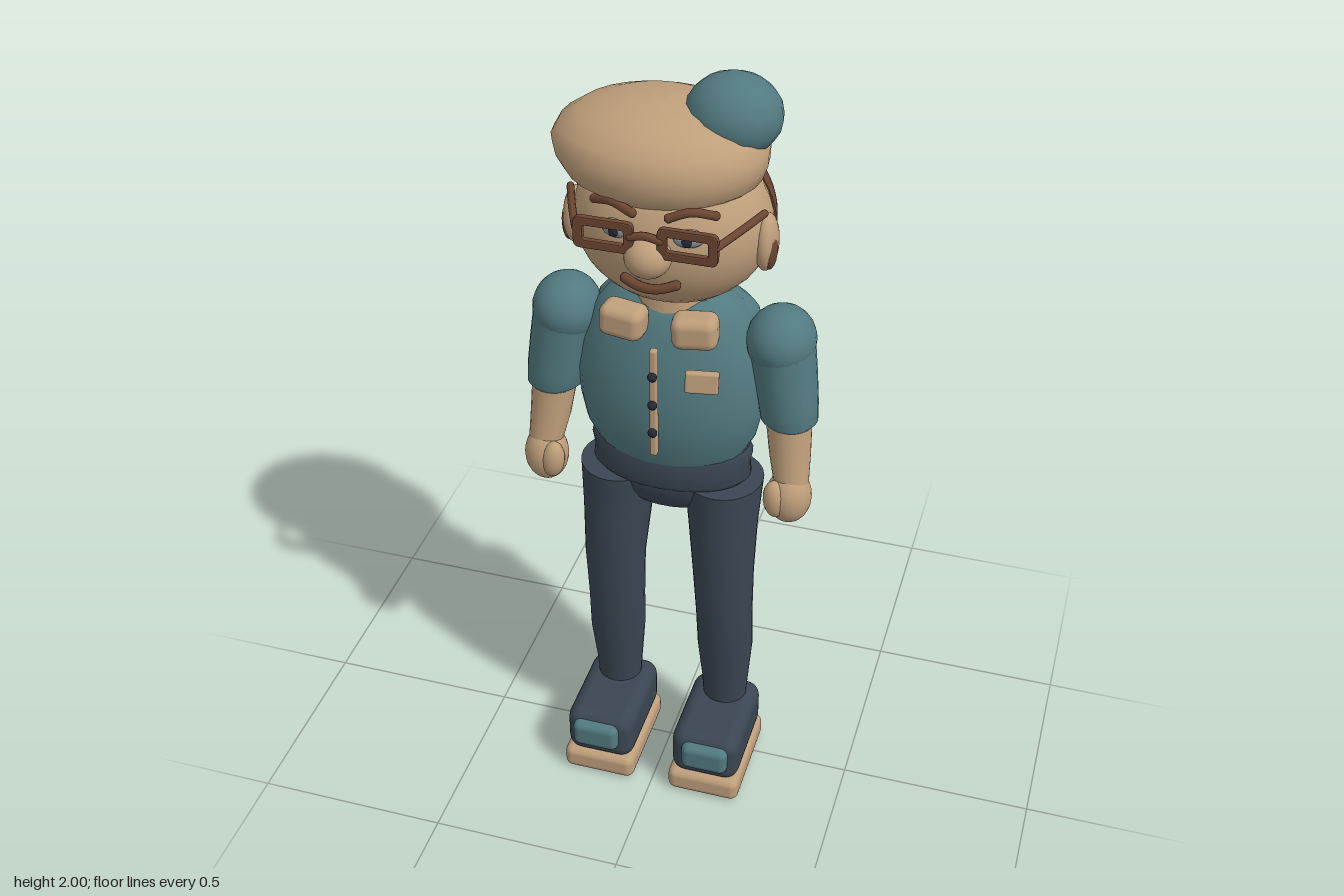
import * as THREE from 'three';
import { RoundedBoxGeometry } from 'three/addons/geometries/RoundedBoxGeometry.js';
import { ParametricGeometry } from 'three/addons/geometries/ParametricGeometry.js';

const mat = (name, color) => Object.assign(new THREE.MeshStandardMaterial({ color }), { name });

// Horizontal elliptical rings [y, cx, cz, rx, rz], bottom to top, with flat caps
function loft(rings, n = 24) {
  const pos = [], idx = [];
  const addRing = ([y, cx, cz, rx, rz]) => {
    const start = pos.length / 3;
    for (let i = 0; i < n; i++) {
      const a = (i / n) * Math.PI * 2;
      pos.push(cx + rx * Math.cos(a), y, cz + rz * Math.sin(a));
    }
    return start;
  };
  const starts = rings.map(addRing);
  for (let r = 0; r < rings.length - 1; r++) {
    for (let i = 0; i < n; i++) {
      const j = (i + 1) % n, lo = starts[r], hi = starts[r + 1];
      idx.push(lo + i, hi + i, lo + j, lo + j, hi + i, hi + j);
    }
  }
  [rings[0], rings[rings.length - 1]].forEach((ring, top) => {
    const s = addRing(ring), c = pos.length / 3;
    pos.push(ring[1], ring[0], ring[2]);
    for (let i = 0; i < n; i++) {
      const j = (i + 1) % n;
      idx.push(c, s + (top ? j : i), s + (top ? i : j));
    }
  });
  const g = new THREE.BufferGeometry();
  g.setAttribute('position', new THREE.Float32BufferAttribute(pos, 3));
  g.setIndex(idx);
  g.computeVertexNormals();
  return g;
}

function roundedRect(target, w, h, r) {
  const x = w / 2, y = h / 2;
  target.moveTo(-x + r, -y).lineTo(x - r, -y).quadraticCurveTo(x, -y, x, -y + r)
    .lineTo(x, y - r).quadraticCurveTo(x, y, x - r, y)
    .lineTo(-x + r, y).quadraticCurveTo(-x, y, -x, y - r)
    .lineTo(-x, -y + r).quadraticCurveTo(-x, -y, -x + r, -y);
  return target;
}

export function createModel() {
  const tan = mat('tan', 0xbf9f7b), teal = mat('teal', 0x527a80);
  const navy = mat('navy', 0x3a4653), brown = mat('brown', 0x6b4632);
  const dark = mat('dark', 0x262a33), eyeGrey = mat('eyeGrey', 0x87959a);
  brown.side = THREE.DoubleSide;

  const model = new THREE.Group();
  model.name = 'figure';
  const add = (name, geo, material, p = [0, 0, 0], rot = [0, 0, 0]) => {
    const m = new THREE.Mesh(geo, material);
    m.name = name;
    m.position.set(...p);
    m.rotation.set(...rot);
    model.add(m);
    return m;
  };
  const ball = (name, material, p, r, rot, seg = 22) => {
    const m = add(name, new THREE.SphereGeometry(1, seg, Math.round(seg * 0.65)), material, p, rot);
    m.scale.set(...r);
    return m;
  };
  const box = (name, material, p, s, r, rot) =>
    add(name, new RoundedBoxGeometry(...s, 3, r), material, p, rot);
  const tube = (name, material, pts, r) => {
    const curve = new THREE.CatmullRomCurve3(pts.map((q) => new THREE.Vector3(...q)));
    add(name, new THREE.TubeGeometry(curve, 12, r, 8), material);
    for (const q of [pts[0], pts[pts.length - 1]]) ball(name + 'End', material, q, [r, r, r], [0, 0, 0], 10);
  };

  // Shirt
  add('shirt', loft([
    [1.01, 0, -0.01, 0.18, 0.105], [1.08, 0, -0.005, 0.215, 0.125], [1.15, 0, -0.007, 0.23, 0.135],
    [1.22, 0, -0.01, 0.234, 0.137], [1.3, 0, -0.018, 0.225, 0.135], [1.38, 0, -0.03, 0.2, 0.125],
    [1.43, 0, -0.035, 0.165, 0.108], [1.455, 0, -0.04, 0.12, 0.085],
  ], 28), teal);
  ball('shoulderYoke', teal, [0, 1.37, -0.07], [0.205, 0.095, 0.1]);
  box('buttonStrip', tan, [0, 1.23, 0.14], [0.018, 0.3, 0.02], 0.005);
  for (const y of [1.15, 1.23, 1.31]) ball('button', dark, [0, y, 0.153], [0.012, 0.012, 0.01], [0, 0, 0], 12);
  box('pocket', tan, [0.113, 1.3, 0.125], [0.08, 0.055, 0.022], 0.006, [-0.1, 0.2, 0]);

  // Waist and pelvis
  add('waistband', loft([
    [0.935, 0, -0.015, 0.19, 0.105], [0.95, 0, -0.015, 0.204, 0.114], [0.985, 0, -0.015, 0.2, 0.115],
    [1.02, 0, -0.015, 0.207, 0.112], [1.033, 0, -0.015, 0.197, 0.104],
  ], 28), navy);
  ball('pelvis', navy, [0, 0.95, -0.012], [0.185, 0.125, 0.1]);

  // Neck, head and hair
  add('neck', new THREE.CylinderGeometry(0.09, 0.1, 0.1, 20), tan, [0, 1.46, -0.03]);
  ball('head', tan, [0, 1.645, -0.02], [0.235, 0.2, 0.19], [0, 0, 0], 30);
  const hair = new ParametricGeometry((u, v, out) => {
    const y = 1.5 + 0.31 * v;
    const f = Math.sqrt(1 - ((y - 1.66) / 0.215) ** 2);
    const edge = -0.03 - 0.11 * Math.min(1, Math.max(0, (1.7 - y) / 0.2)) ** 1.2;
    const half = Math.PI / 2 - Math.asin(Math.min(1, -(edge + 0.025) / (0.205 * f)));
    const t = (u * 2 - 1) * half;
    out.set(0.24 * f * Math.sin(t), y, -0.025 - 0.205 * f * Math.cos(t));
  }, 28, 14);
  add('hair', hair, brown);

  // Beret with pompom
  add('beret', loft([
    [1.745, -0.02, -0.03, 0.2, 0.17], [1.765, -0.025, -0.03, 0.23, 0.19], [1.8, -0.03, -0.03, 0.247, 0.2],
    [1.835, -0.033, -0.03, 0.252, 0.2], [1.87, -0.033, -0.03, 0.233, 0.186], [1.9, -0.033, -0.03, 0.19, 0.154],
    [1.922, -0.033, -0.03, 0.13, 0.108], [1.932, -0.033, -0.03, 0.07, 0.06], [1.936, -0.033, -0.03, 0.02, 0.02],
  ], 28), tan);
  ball('pompom', teal, [0.13, 1.905, -0.055], [0.113, 0.095, 0.105], [0, 0, 0], 16);

  // Face
  ball('nose', tan, [0, 1.65, 0.178], [0.055, 0.05, 0.052]);
  tube('mouth', brown, [[-0.06, 1.575, 0.16], [-0.03, 1.566, 0.168], [0, 1.562, 0.17],
    [0.03, 1.566, 0.168], [0.06, 1.575, 0.16]], 0.012);
  tube('glassesBridge', brown, [[-0.035, 1.705, 0.197], [0, 1.712, 0.198], [0.035, 1.705, 0.197]], 0.01);

  const rim = roundedRect(new THREE.Shape(), 0.134, 0.072, 0.014);
  rim.holes.push(roundedRect(new THREE.Path(), 0.1, 0.042, 0.008));
  const rimGeo = new THREE.ExtrudeGeometry(rim, {
    depth: 0.008, bevelSize: 0.003, bevelThickness: 0.004, bevelSegments: 2, curveSegments: 4,
  });

  for (const s of [1, -1]) {
    // Eyes, brows, glasses and ears
    ball('eye', eyeGrey, [s * 0.085, 1.692, 0.146], [0.036, 0.022, 0.02], [0, s * 0.25, 0], 16);
    ball('pupil', dark, [s * 0.085, 1.692, 0.161], [0.014, 0.015, 0.008], [0, s * 0.25, 0], 12);
    tube('eyebrow', brown, [[s * 0.042, 1.742, 0.158], [s * 0.09, 1.758, 0.147], [s * 0.14, 1.746, 0.125]], 0.011);
    add('glassesRim', rimGeo, brown, [s * 0.097, 1.7, 0.191]);
    tube('glassesTemple', brown, [[s * 0.162, 1.708, 0.195], [s * 0.197, 1.714, 0.115], [s * 0.228, 1.718, 0.035]], 0.009);
    ball('ear', tan, [s * 0.228, 1.63, 0.005], [0.028, 0.072, 0.046]);
    ball('innerEar', brown, [s * 0.24, 1.618, 0.018], [0.017, 0.05, 0.024], [0, 0, 0], 14);

    // Bow tie half
    box('bowTie', tan, [s * 0.087, 1.42, 0.093], [0.11, 0.082, 0.075], 0.024, [0, s * 0.12, s * 0.05]);

    // Arm
    ball('shoulder', teal, [s * 0.267, 1.36, -0.018], [0.084, 0.085, 0.092]);
    add('sleeve', loft([
      [1.145, s * 0.3, 0, 0.06, 0.06], [1.155, s * 0.298, 0, 0.07, 0.068], [1.2, s * 0.293, -0.003, 0.073, 0.073],
      [1.28, s * 0.281, -0.01, 0.077, 0.08], [1.36, s * 0.268, -0.017, 0.08, 0.086],
    ]), teal);
    add('forearm', loft([
      [0.985, s * 0.318, 0.035, 0.043, 0.043], [1.06, s * 0.308, 0.018, 0.051, 0.05],
      [1.16, s * 0.298, 0.003, 0.057, 0.056],
    ], 20), tan);
    ball('hand', tan, [s * 0.315, 0.95, 0.04], [0.056, 0.075, 0.055]);
    ball('thumb', tan, [s * 0.287, 0.955, 0.073], [0.03, 0.052, 0.028], [0, 0, s * 0.1], 16);

    // Leg
    add('trouserLeg', loft([
      [0.17, s * 0.15, -0.015, 0.057, 0.055], [0.25, s * 0.15, -0.015, 0.062, 0.06],
      [0.38, s * 0.15, -0.006, 0.073, 0.074], [0.5, s * 0.148, 0.003, 0.074, 0.078],
      [0.65, s * 0.146, 0.015, 0.079, 0.078], [0.8, s * 0.14, 0.004, 0.088, 0.09],
      [0.935, s * 0.136, -0.012, 0.1, 0.106],
    ]), navy);

    // Shoe
    box('sole', tan, [s * 0.147, 0.035, 0.06], [0.195, 0.07, 0.29], 0.022);
    box('shoeUpper', navy, [s * 0.147, 0.13, 0.058], [0.184, 0.142, 0.278], 0.038);
    box('toePatch', teal, [s * 0.152, 0.142, 0.192], [0.126, 0.08, 0.05], 0.02);
  }
  return model;
}
